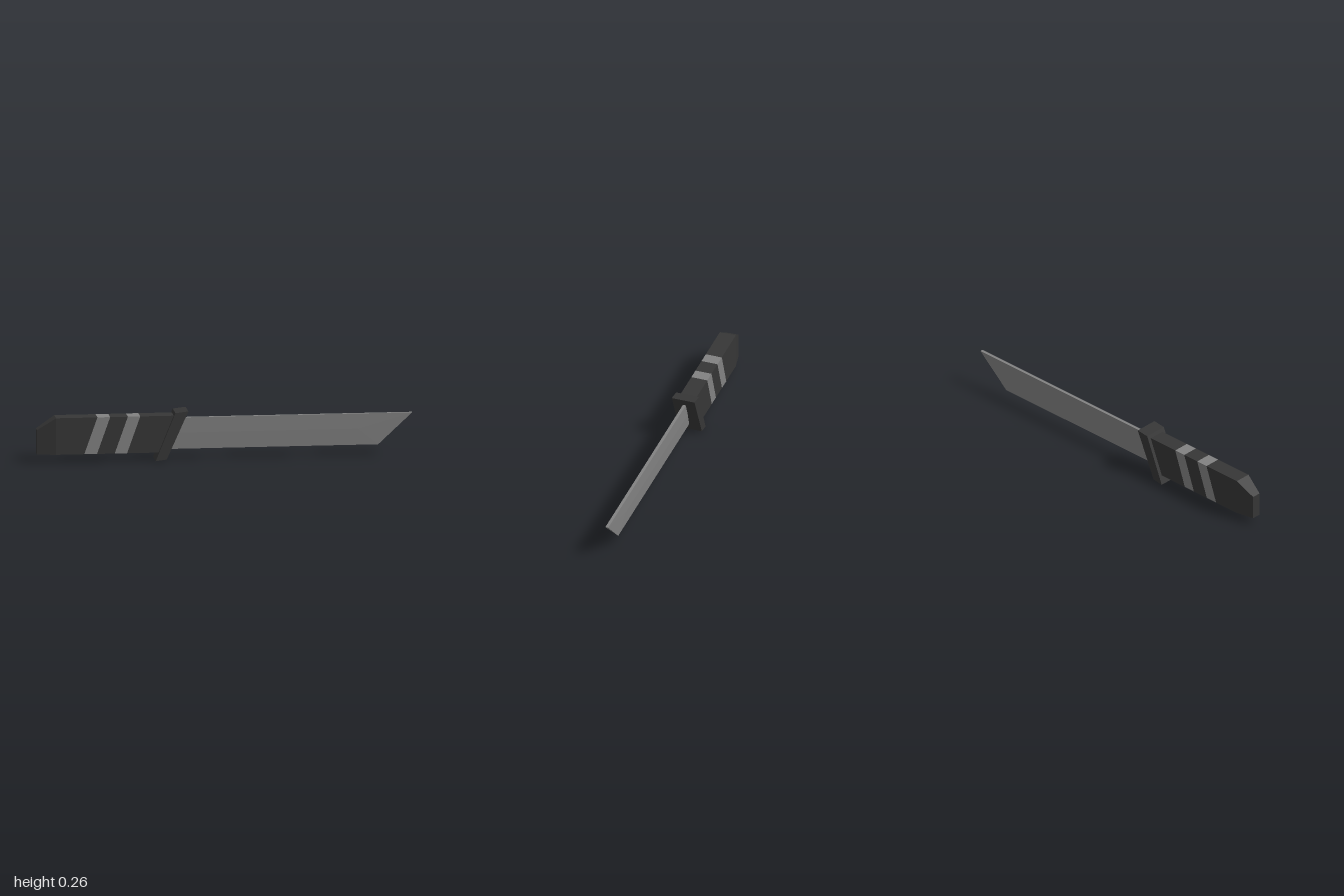
import * as THREE from 'three';

const dark = new THREE.MeshStandardMaterial({ color: 0x363636 });
dark.name = 'dark grip';
const steel = new THREE.MeshStandardMaterial({ color: 0x828282 });
steel.name = 'grey steel';

// Flat-faced solid through cross-sections ordered along +x, each listed counterclockwise seen from +x
function loft(name, sections, material) {
  const pos = [];
  const tri = (...points) => points.forEach((p) => pos.push(...p));
  const n = sections[0].length;
  for (let s = 0; s < sections.length - 1; s++) {
    const a = sections[s], b = sections[s + 1];
    for (let i = 0; i < n; i++) {
      const j = (i + 1) % n;
      tri(a[i], a[j], b[j]);
      tri(a[i], b[j], b[i]);
    }
  }
  const first = sections[0], last = sections[sections.length - 1];
  for (let i = 1; i < n - 1; i++) {
    tri(first[0], first[i + 1], first[i]);
    tri(last[0], last[i], last[i + 1]);
  }
  const geometry = new THREE.BufferGeometry();
  geometry.setAttribute('position', new THREE.Float32BufferAttribute(pos, 3));
  geometry.computeVertexNormals();
  const mesh = new THREE.Mesh(geometry, material);
  mesh.name = name;
  return mesh;
}

// Rectangular section, slanted between its top and bottom edge
const rect = (xTop, yTop, xBottom, yBottom, z) => [
  [xTop, yTop, -z], [xTop, yTop, z], [xBottom, yBottom, z], [xBottom, yBottom, -z],
];

// Five-sided blade section: cutting edge, ridges and flat spine
const bladeSection = (xEdge, xRidge, xSpine) => [
  [xEdge, 0.052, 0],
  [xRidge, 0.14, -0.006], [xSpine, 0.222, -0.008],
  [xSpine, 0.222, 0.008], [xRidge, 0.14, 0.006],
];

export function createModel() {
  const model = new THREE.Group();
  model.name = 'knife';

  // Handle: tapered pommel, then slanted dark and grey bands
  const handle = new THREE.Group();
  handle.name = 'handle';
  const slant = (xTop) => rect(xTop, 0.24, xTop - 0.07, 0.043, 0.045);
  const cuts = [-0.68, -0.612, -0.518, -0.452, -0.26];
  handle.add(loft('pommel', [
    rect(-1, 0.175, -1, 0.043, 0.025),
    rect(-0.9, 0.24, -0.9, 0.043, 0.045),
    slant(cuts[0]),
  ], dark));
  for (let i = 0; i < cuts.length - 1; i++) {
    const grey = i % 2 === 0;
    handle.add(loft(grey ? 'gripStripe' : 'gripBand', [slant(cuts[i]), slant(cuts[i + 1])], grey ? steel : dark));
  }
  model.add(handle);

  // Slanted guard plate
  model.add(loft('guard', [
    rect(-0.267, 0.257, -0.372, 0.0, 0.064),
    rect(-0.198, 0.265, -0.313, 0.008, 0.064),
  ], dark));

  // Blade with an angled point
  model.add(loft('blade', [
    bladeSection(-0.32, -0.28, -0.24),
    bladeSection(0.82, 0.71, 1),
  ], steel));

  return model;
}
